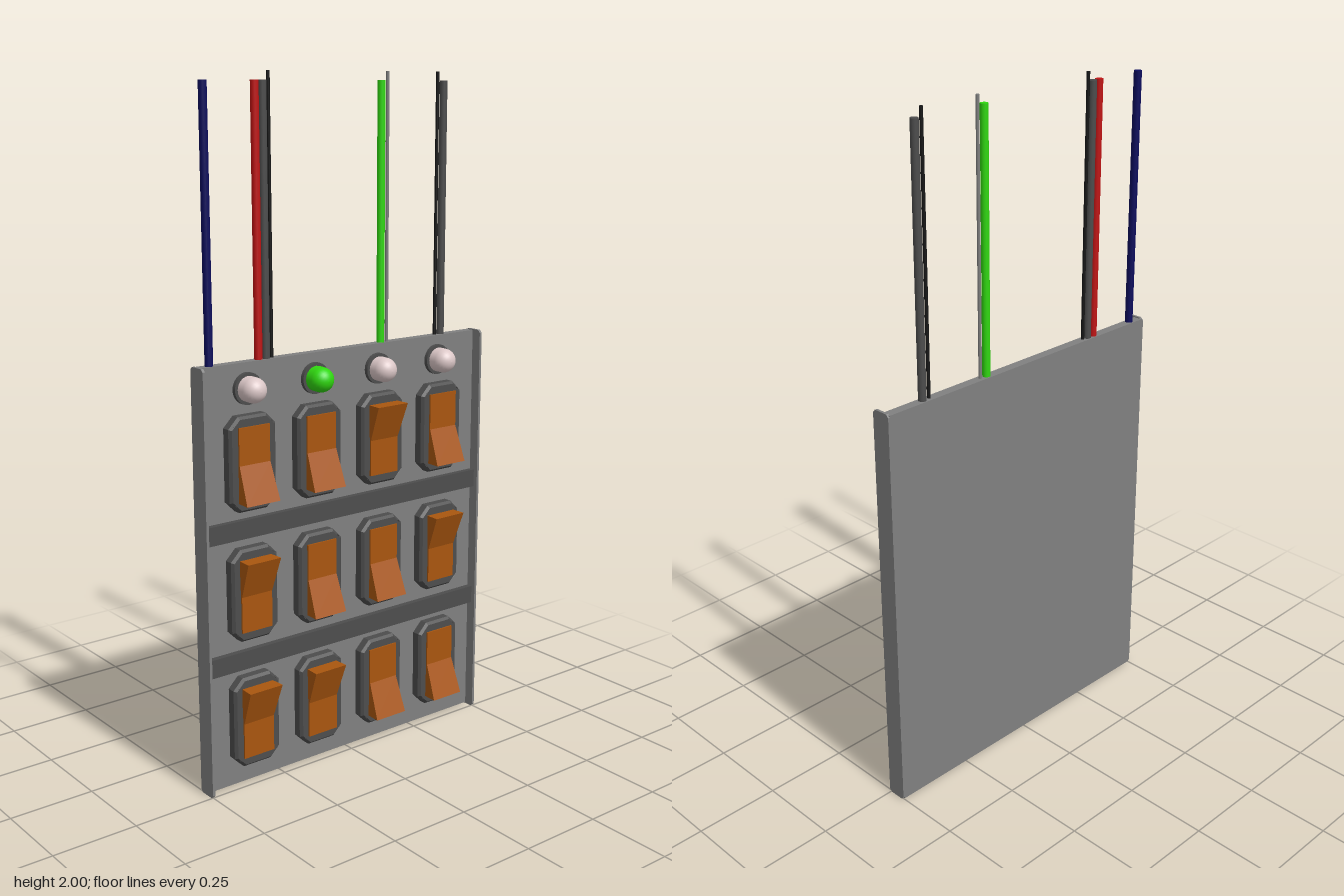
import * as THREE from 'three';

const mat = (name, color) => Object.assign(new THREE.MeshStandardMaterial({ color }), { name });

export function createModel() {
  const M = {
    panel: mat('mid grey', 0x808080),
    dark: mat('dark grey', 0x4d4d4d),
    orange: mat('orange', 0xa9560f),
    lamp: mat('pale pink', 0xdcc8c8),
    green: mat('green', 0x30d810),
    red: mat('red', 0xc01414),
    navy: mat('navy', 0x0c0c5c),
    black: mat('black', 0x161616),
  };
  const root = new THREE.Group();
  root.name = 'switchPanel';

  const add = (name, geometry, material, x, y, z, parent = root) => {
    const m = new THREE.Mesh(geometry, material);
    m.name = name;
    m.position.set(x, y, z);
    parent.add(m);
    return m;
  };

  // Rectangle with cut corners, as a list of points
  const cutRect = (w, h, c) => {
    const a = w / 2, b = h / 2;
    return [[-a + c, -b], [a - c, -b], [a, -b + c], [a, b - c], [a - c, b], [-a + c, b], [-a, b - c], [-a, -b + c]]
      .map(([x, y]) => new THREE.Vector2(x, y));
  };

  // Backing plate with its two side lips
  const H = 1.235, W = 1.008;
  add('backPlate', new THREE.BoxGeometry(0.028, H - 0.006, W - 0.01), M.panel, -0.041, H / 2, 0);
  const lipGeo = new THREE.ExtrudeGeometry(new THREE.Shape(cutRect(0.06, H, 0.008)), { depth: 0.008, bevelEnabled: false });
  lipGeo.translate(0, 0, -0.004);
  for (const s of [-1, 1]) add('sideLip', lipGeo, M.panel, -0.025, H / 2, s * (W / 2 - 0.004));

  // Divider bars
  for (const y of [0.766, 0.381]) add('dividerBar', new THREE.BoxGeometry(0.019, 0.054, W - 0.016), M.dark, -0.0185, y, 0);

  // Switch bezel, with a bevelled octagonal rim and rectangular opening
  const rim = new THREE.Shape(cutRect(0.141, 0.256, 0.027));
  rim.holes.push(new THREE.Path(cutRect(0.13, 0.231, 0.006)));
  const bezelGeo = new THREE.ExtrudeGeometry(rim, {
    depth: 0.024, bevelThickness: 0.008, bevelSize: 0.007, bevelSegments: 1,
  });
  bezelGeo.rotateY(Math.PI / 2);

  // Rocker: one half flat, the other sloping out to a slightly wider end
  const rockerGeo = new THREE.BoxGeometry(0.04, 0.212, 0.102, 1, 2, 1).toNonIndexed();
  const p = rockerGeo.attributes.position;
  for (let i = 0; i < p.count; i++) {
    const front = p.getX(i) > 0, end = p.getY(i) > 0.05;
    p.setX(i, front ? (end ? 0.05 : 0.01) : -0.025);
    if (front && end) p.setZ(i, p.getZ(i) * 1.08);
  }
  rockerGeo.computeVertexNormals();

  // Rows from the top, columns from +z; 1 means the upper end stands out
  const columns = [0.345, 0.115, -0.115, -0.345];
  const rows = [[0.955, [0, 0, 1, 0]], [0.578, [1, 0, 0, 1]], [0.198, [1, 1, 0, 0]]];
  for (const [y, states] of rows) {
    columns.forEach((z, i) => {
      const sw = new THREE.Group();
      sw.name = 'rockerSwitch';
      sw.position.set(0, y, z);
      root.add(sw);
      add('bezel', bezelGeo, M.dark, -0.027, 0, 0, sw);
      add('switchWell', new THREE.BoxGeometry(0.008, 0.222, 0.12), M.dark, -0.018, 0, 0, sw);
      const rocker = add('rocker', rockerGeo, M.orange, 0, 0, 0, sw);
      if (!states[i]) rocker.rotation.x = Math.PI;
    });
  }

  // Indicator lamps: a short barrel with a domed end, in a dark ring
  const profile = [[0.036, -0.027], [0.036, 0.009]].map(([r, h]) => new THREE.Vector2(r, h));
  for (let i = 1; i <= 8; i++) {
    const a = (i / 8) * Math.PI / 2;
    profile.push(new THREE.Vector2(i === 8 ? 0 : 0.036 * Math.cos(a), 0.009 + 0.036 * Math.sin(a)));
  }
  const lampGeo = new THREE.LatheGeometry(profile, 24).rotateZ(-Math.PI / 2);
  const ringGeo = new THREE.CylinderGeometry(0.045, 0.045, 0.012, 24).rotateZ(-Math.PI / 2);
  columns.forEach((z, i) => {
    add('lampRing', ringGeo, M.dark, -0.021, 1.16, z);
    add('lamp', lampGeo, i === 1 ? M.green : M.lamp, 0, 1.16, z);
  });

  // Wires rising from the top edge: [z, radius, top, material]
  const wires = [
    [0.455, 0.0115, 1.975, M.navy],
    [0.294, 0.0115, 1.975, M.red],
    [0.269, 0.0115, 1.975, M.dark],
    [0.25, 0.005, 2, M.black],
    [-0.139, 0.0115, 1.975, M.green],
    [-0.162, 0.005, 2, M.panel],
    [-0.35, 0.005, 2, M.black],
    [-0.373, 0.0115, 1.975, M.dark],
  ];
  for (const [z, r, top, m] of wires) {
    const h = top - 1.22;
    add('wire', new THREE.CylinderGeometry(r, r, h, 12), m, -0.04, 1.22 + h / 2, z);
  }
  return root;
}
